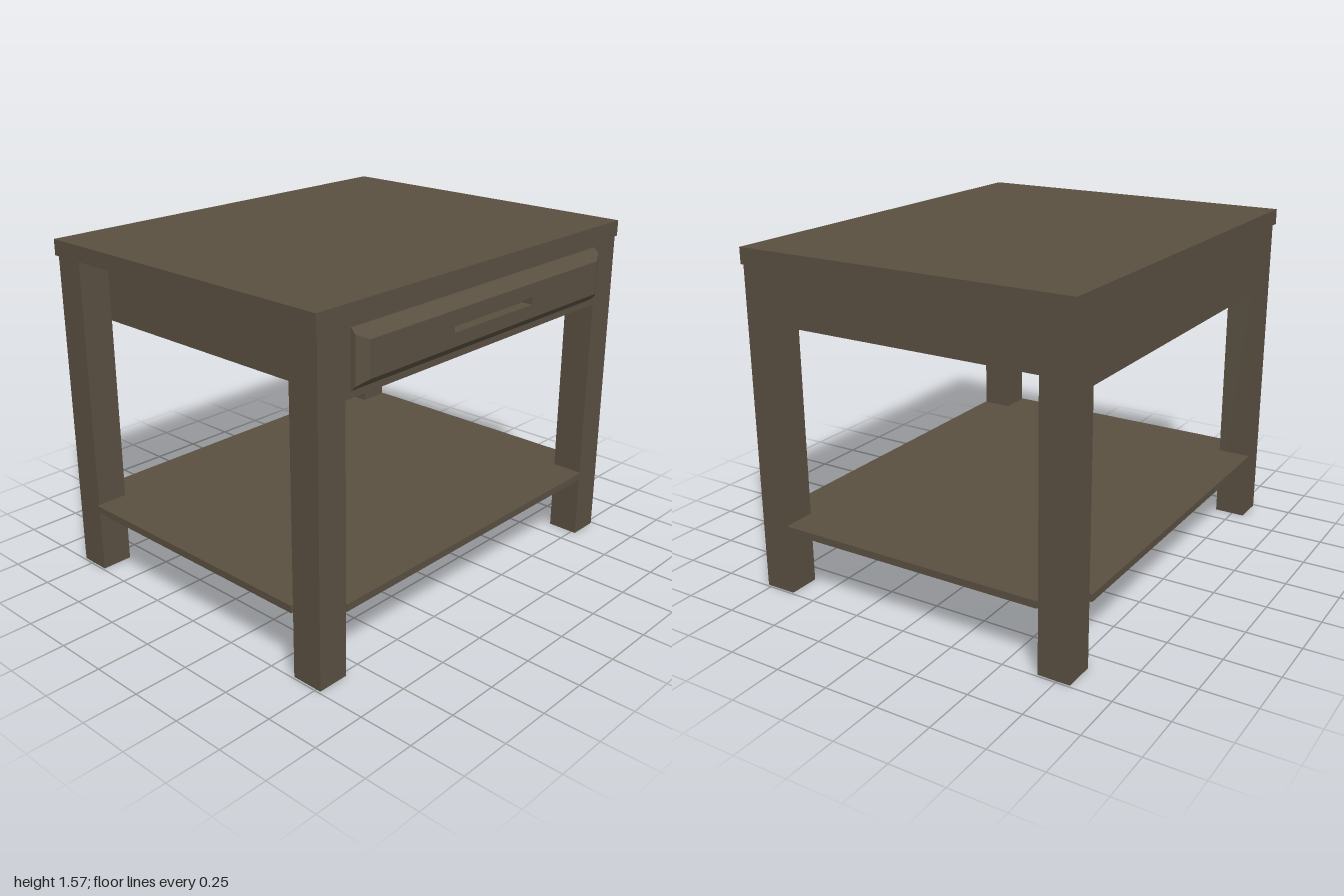
import * as THREE from 'three';

// Rectangle outline from two corners
function rect(Type, x0, y0, x1, y1) {
  return new Type([[x0, y0], [x1, y0], [x1, y1], [x0, y1]].map(([x, y]) => new THREE.Vector2(x, y)));
}

export function createModel() {
  const wood = new THREE.MeshStandardMaterial({ color: 0x5a5041 });
  wood.name = 'darkWood';
  const table = new THREE.Group();
  table.name = 'sideTable';

  function add(name, geometry) {
    const mesh = new THREE.Mesh(geometry, wood);
    mesh.name = name;
    table.add(mesh);
    return mesh;
  }
  // Box given by its extents on each axis
  function box(name, x0, x1, y0, y1, z0, z1) {
    add(name, new THREE.BoxGeometry(x1 - x0, y1 - y0, z1 - z0))
      .position.set((x0 + x1) / 2, (y0 + y1) / 2, (z0 + z1) / 2);
  }

  box('tableTop', -1, 1, 1.5, 1.573, -0.822, 0.778);

  // Legs; the drawer case is flush with them front and back, inset at the sides
  const legIn = 0.842, legOut = 0.99;
  for (const [side, x0, x1] of [['left', legIn, legOut], ['right', -legOut, -legIn]]) {
    box(side + 'FrontLeg', x0, x1, 0, 1.5, 0.624, 0.772);
    box(side + 'BackLeg', x0, x1, 0, 1.5, -0.81, -0.662);
  }
  box('drawerCase', -legIn, legIn, 1.2, 1.5, -0.81, 0.772);

  // Lower shelf, notched around the legs
  const front = 0.778, back = -0.822, notchFront = 0.624, notchBack = -0.662;
  const half = [[legIn, back], [legIn, notchBack], [1, notchBack], [1, notchFront], [legIn, notchFront], [legIn, front]];
  const outline = [...half, ...half.map(([x, z]) => [-x, z]).reverse()];
  const shelf = new THREE.ExtrudeGeometry(
    new THREE.Shape(outline.map(([x, z]) => new THREE.Vector2(x, -z))),
    { depth: 0.033, bevelEnabled: false });
  shelf.rotateX(-Math.PI / 2);
  add('lowerShelf', shelf).position.y = 0.302;

  // Drawer front: bevelled panel with a slot for the fingers
  const panel = rect(THREE.Shape, -0.765, 1.275, 0.765, 1.43);
  panel.holes.push(rect(THREE.Path, -0.265, 1.335, 0.265, 1.37));
  const drawer = new THREE.ExtrudeGeometry(panel, { depth: 0.05, steps: 2, bevelEnabled: false });
  // Outer half-widths, bottoms, tops and depths of the three rings, back to front
  const rings = [[0.815, 1.229, 1.477, 0.772], [0.815, 1.252, 1.454, 0.796], [0.765, 1.275, 1.43, 0.822]];
  const p = drawer.attributes.position;
  for (let i = 0; i < p.count; i++) {
    const [w, bottom, top, z] = rings[Math.round(p.getZ(i) / 0.025)];
    if (Math.abs(p.getX(i)) > 0.5) {
      p.setX(i, Math.sign(p.getX(i)) * w);
      p.setY(i, p.getY(i) < 1.35 ? bottom : top);
    }
    p.setZ(i, z);
  }
  drawer.computeVertexNormals();
  add('drawerFront', drawer);

  return table;
}
